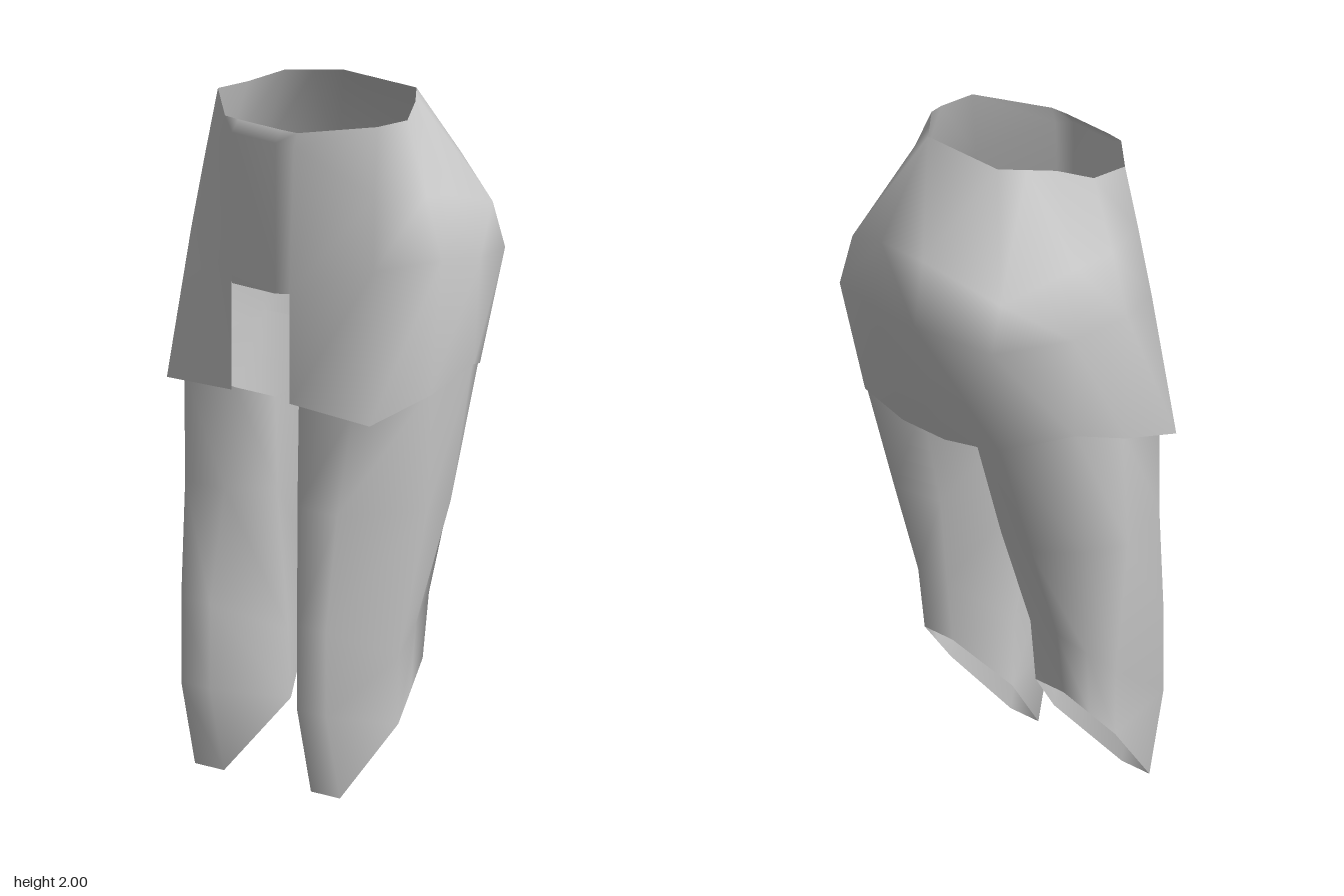
import * as THREE from 'three';
import { mergeVertices } from 'three/addons/utils/BufferGeometryUtils.js';

const cloth = new THREE.MeshStandardMaterial({ color: 0xcccccc, side: THREE.DoubleSide });
cloth.name = 'grey cloth';

// Skins closed rings of [x, y, z] points, listed from the top down,
// with the quad diagonals mirrored across x = 0
function loft(name, rings, skip = () => false) {
  const n = rings[0].length, index = [];
  for (let r = 0; r < rings.length - 1; r++) {
    for (let i = 0; i < n; i++) {
      if (skip(r, i)) continue;
      const j = (i + 1) % n, a = r * n + i, b = r * n + j, c = a + n, d = b + n;
      if (rings[r][i][0] + rings[r][j][0] > 0) index.push(a, b, d, a, d, c);
      else index.push(a, b, c, b, d, c);
    }
  }
  let geometry = new THREE.BufferGeometry();
  geometry.setAttribute('position', new THREE.Float32BufferAttribute(rings.flat(2), 3));
  geometry.setIndex(index);
  geometry = mergeVertices(geometry);
  geometry.computeVertexNormals();
  const mesh = new THREE.Mesh(geometry, cloth);
  mesh.name = name;
  return mesh;
}

const mirrored = (ring) => ring.map(([x, y, z]) => [-x, y, z]).reverse();

export function createModel() {
  const group = new THREE.Group();
  group.name = 'trousers';

  // Seat and waist: half rings from centre back round to centre front
  const halves = [
    [[0.15, 2, -0.12], [0.21, 2, -0.06], [0.27, 2, 0], [0.33, 1.97, 0.09],
      [0.33, 1.97, 0.21], [0.15, 1.945, 0.355], [0.09, 1.945, 0.36]],
    [[0.09, 1.76, -0.355], [0.32, 1.67, -0.26], [0.39, 1.74, -0.03], [0.41, 1.76, 0.09],
      [0.352, 1.77, 0.242], [0.14, 1.9, 0.36], [0.09, 1.91, 0.385]],
    [[0.09, 1.56, -0.385], [0.33, 1.53, -0.3], [0.445, 1.55, -0.09], [0.475, 1.58, 0.09],
      [0.378, 1.56, 0.27], [0.12, 1.465, 0.358], [0.09, 1.465, 0.385]],
    [[0.09, 1.17, -0.27], [0.29, 1.19, -0.238], [0.435, 1.24, -0.075], [0.447, 1.18, 0.11],
      [0.42, 1.12, 0.327], [0.12, 1.14, 0.357], [0.09, 1.14, 0.36]],
  ];
  // The lowest band stays open at the front as a square notch
  group.add(loft('hips', halves.map((h) => [...h, ...mirrored(h)]),
    (r, i) => r === 2 && i >= 5 && i <= 7));

  // Seven-sided leg: back inner, back outer, outer back, outer, front outer, front inner, inner
  const leg = [
    [[0.11, 1.18, -0.18], [0.287, 1.2, -0.236], [0.432, 1.25, -0.073], [0.443, 1.2, 0.1],
      [0.35, 1.15, 0.325], [0.13, 1.14, 0.33], [0.06, 1.11, 0.24]],
    [[0.13, 0.84, -0.09], [0.295, 0.84, -0.12], [0.405, 0.84, -0.01], [0.445, 0.84, 0.12],
      [0.315, 0.84, 0.355], [0.15, 0.84, 0.355], [0.063, 0.84, 0.23]],
    [[0.18, 0.55, -0.02], [0.3, 0.55, -0.025], [0.333, 0.475, 0.06], [0.358, 0.4, 0.15],
      [0.3, 0.5, 0.385], [0.18, 0.5, 0.385], [0.09, 0.4, 0.16]],
    [[0.18, 0.36, 0], [0.3, 0.36, 0], [0.328, 0.28, 0.075], [0.355, 0.2, 0.15],
      [0.3, 0.25, 0.385], [0.18, 0.25, 0.385], [0.09, 0.2, 0.15]],
  ];
  // The front runs on to a point below the slanted cuff
  leg.push(leg[3].map((p, i) => (i === 4 || i === 5 ? [p[0], 0, 0.33] : p)));
  group.add(loft('leftLeg', leg), loft('rightLeg', leg.map(mirrored)));

  return group;
}
